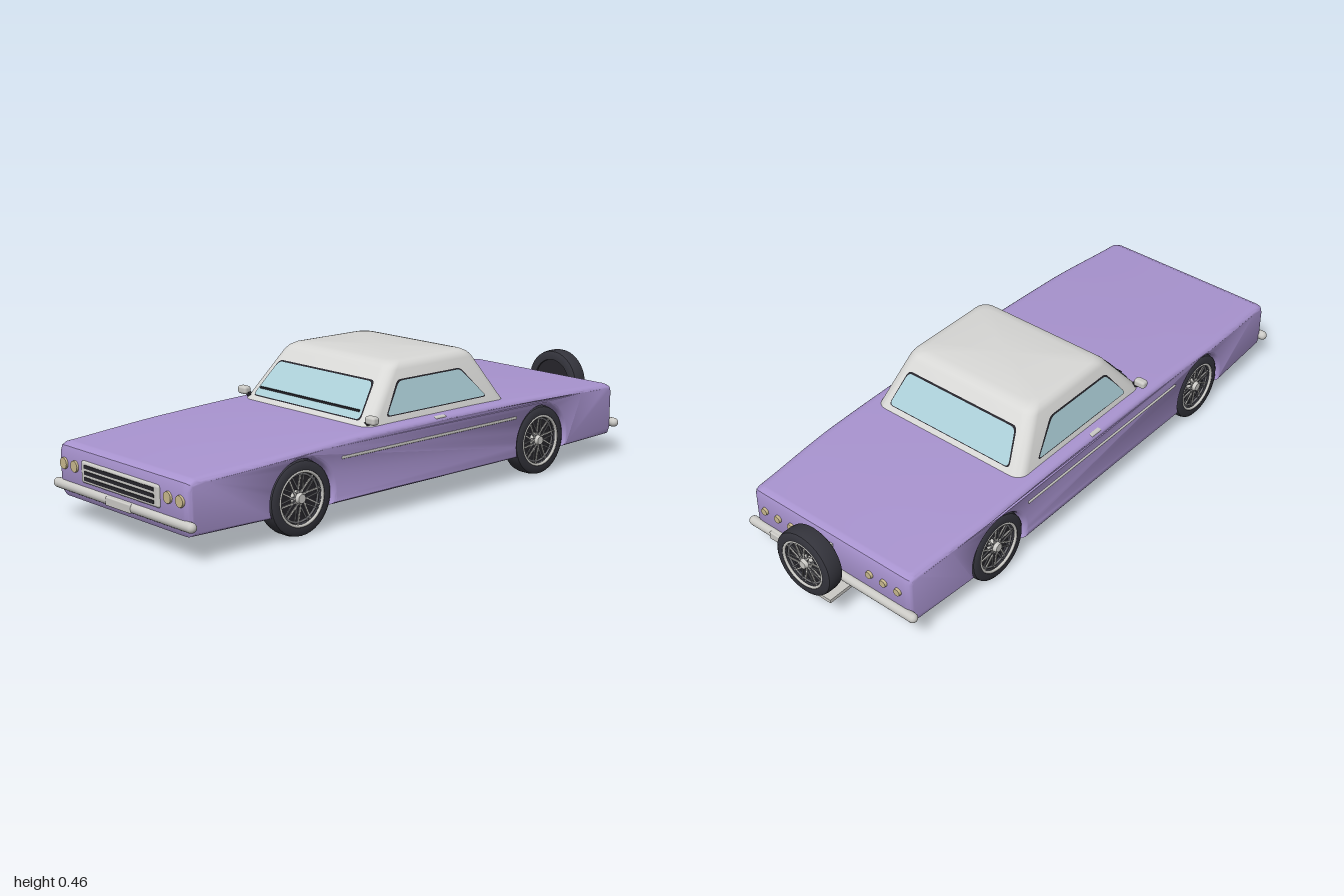
import * as THREE from 'three';
import { toCreasedNormals } from 'three/addons/utils/BufferGeometryUtils.js';
import { RoundedBoxGeometry } from 'three/addons/geometries/RoundedBoxGeometry.js';

const mat = (name, color, side = THREE.FrontSide) => {
  const m = new THREE.MeshStandardMaterial({ color, side });
  m.name = name;
  return m;
};

export function createModel() {
  const car = new THREE.Group();
  car.name = 'car';
  const paint = mat('lavender paint', 0xa994d0);
  const white = mat('white roof', 0xd8d8d6);
  const chrome = mat('chrome', 0xcbcac6);
  const glass = mat('glass', 0xadd0d9, THREE.DoubleSide);
  const dark = mat('dark trim', 0x26252b, THREE.DoubleSide);
  const rubber = mat('rubber', 0x34343c);
  const lamp = mat('lamp', 0xc9b98e);
  const rimGrey = mat('rim grey', 0x6c6c70);

  const add = (name, geo, material, x = 0, y = 0, z = 0, parent = car) => {
    const m = new THREE.Mesh(geo, material);
    m.name = name;
    m.position.set(x, y, z);
    parent.add(m);
    return m;
  };
  const box = (w, h, d) => new THREE.BoxGeometry(w, h, d);
  const rbox = (w, h, d, r) => new RoundedBoxGeometry(w, h, d, 3, r);

  // Body: side outline with wheel arches, extruded across with rounded edges
  const axles = [0.572, -0.492];
  const wheelY = 0.12, archR = 0.118, floorY = 0.0775;
  const dip = Math.asin((wheelY - floorY) / archR);
  const side = new THREE.Shape();
  side.moveTo(-0.972, floorY);
  for (const z of axles) {
    side.lineTo(-z - archR * Math.cos(dip), floorY);
    side.absarc(-z, wheelY, archR, Math.PI + dip, -dip, true);
  }
  side.lineTo(0.868, floorY);
  side.lineTo(0.88, 0.1);
  side.lineTo(0.882, 0.235);
  side.lineTo(0.876, 0.252);
  side.lineTo(0.86, 0.26);
  side.splineThru([[0.6, 0.273], [0.3, 0.282], [0, 0.283], [-0.28, 0.281], [-0.6, 0.268], [-0.96, 0.248]]
    .map(p => new THREE.Vector2(...p)));
  side.lineTo(-0.979, 0.238);
  side.lineTo(-0.986, 0.215);
  side.lineTo(-0.985, 0.1);
  side.closePath();
  let body = new THREE.ExtrudeGeometry(side, {
    depth: 0.63, bevelThickness: 0.03, bevelSize: 0.015, bevelOffset: -0.015, bevelSegments: 4, curveSegments: 16,
  });
  body.translate(0, 0, -0.315);
  body.rotateY(Math.PI / 2);
  // Narrow the body a little towards both ends
  const p = body.attributes.position;
  for (let i = 0; i < p.count; i++) {
    const t = THREE.MathUtils.smoothstep(Math.abs(p.getZ(i) - 0.05), 0.55, 0.95);
    p.setX(i, p.getX(i) * (1 - 0.05 * t));
  }
  add('body', toCreasedNormals(body, 0.6), paint);
  add('chassis', box(0.49, 0.18, 1.3), dark, 0, 0.143, 0.04);

  // Cabin: rounded rectangles stacked upwards
  const xs = y => 0.305 - 0.28 * (y - 0.28);
  const zf = y => 0.278 - 0.82 * (y - 0.28);
  const zr = y => -0.353 + 0.66 * (y - 0.28);
  const rows = [[0.262, 0], [0.435, 0], [0.449, 0.004], [0.457, 0.014], [0.461, 0.032]];
  const pos = [], idx = [], seg = 6, n = 4 * (seg + 1), r = 0.04;
  for (const [y, inset] of rows) {
    const hx = xs(y) - inset - r, f = zf(y) - inset - r, b = zr(y) + inset + r;
    [[hx, f], [-hx, f], [-hx, b], [hx, b]].forEach(([cx, cz], q) => {
      for (let i = 0; i <= seg; i++) {
        const a = (q + i / seg) * Math.PI / 2;
        pos.push(cx + r * Math.cos(a), y, cz + r * Math.sin(a));
      }
    });
  }
  for (let k = 0; k < rows.length - 1; k++) {
    for (let i = 0; i < n; i++) {
      const a = k * n + i, b = k * n + (i + 1) % n;
      idx.push(a, a + n, b, b, a + n, b + n);
    }
  }
  const last = (rows.length - 1) * n;
  pos.push(0, 0.463, -0.05);
  for (let i = 0; i < n; i++) idx.push(last + i, rows.length * n, last + (i + 1) % n);
  const cabin = new THREE.BufferGeometry();
  cabin.setAttribute('position', new THREE.Float32BufferAttribute(pos, 3));
  cabin.setIndex(idx);
  add('cabin', toCreasedNormals(cabin, 0.7), white);

  // Windows: rounded outlines laid onto the sloping cabin sides
  const outline = (pts, rad, grow) => {
    const c = pts.reduce((s, q) => [s[0] + q[0] / 4, s[1] + q[1] / 4], [0, 0]);
    const v = pts.map(([x, y]) => new THREE.Vector2(x + grow * Math.sign(x - c[0]), y + grow * Math.sign(y - c[1])));
    const s = new THREE.Shape();
    v.forEach((q, i) => {
      const prev = v[(i + 3) % 4], next = v[(i + 1) % 4];
      const a = q.clone().add(prev.clone().sub(q).setLength(rad));
      const b = q.clone().add(next.clone().sub(q).setLength(rad));
      if (i) s.lineTo(a.x, a.y); else s.moveTo(a.x, a.y);
      s.quadraticCurveTo(q.x, q.y, b.x, b.y);
    });
    s.closePath();
    return new THREE.ShapeGeometry(s, 5);
  };
  const pane = (name, pts, place) => {
    for (const [label, grow, lift, m] of [['Seal', 0.004, 0.002, dark], ['', 0, 0.005, glass]]) {
      const g = outline(pts, 0.016, grow), a = g.attributes.position;
      for (let i = 0; i < a.count; i++) a.setXYZ(i, ...place(a.getX(i), a.getY(i), lift));
      g.computeVertexNormals();
      add(name + label, g, m);
    }
  };
  pane('windshield', [[-0.257, 0.299], [0.257, 0.299], [0.226, 0.403], [-0.226, 0.403]], (x, y, l) => [x, y, zf(y) + l]);
  pane('rearWindow', [[-0.25, 0.302], [0.25, 0.302], [0.222, 0.403], [-0.222, 0.403]], (x, y, l) => [x, y, zr(y) - l]);
  for (const s of [1, -1]) {
    pane('sideWindow', [[-0.257, 0.306], [0.19, 0.306], [0.115, 0.403], [-0.16, 0.403]], (z, y, l) => [s * (xs(y) + l), y, z]);
  }
  add('wiper', box(0.48, 0.006, 0.006), dark, 0, 0.322, zf(0.322) + 0.007);

  // Wheels: lathed tyre, bright rim and wire spokes, facing +x
  const tyreProfile = [[0.084, -0.033], [0.106, -0.034], [0.115, -0.028], [0.118, -0.015], [0.118, 0.015],
    [0.115, 0.028], [0.106, 0.034], [0.088, 0.033], [0.083, 0.02], [0.083, -0.03], [0.084, -0.033]]
    .map(q => new THREE.Vector2(...q));
  const tyreGeo = toCreasedNormals(new THREE.LatheGeometry(tyreProfile, 40).rotateZ(-Math.PI / 2), 0.7);
  const disc = (rad, depth, top = rad) => new THREE.CylinderGeometry(top, rad, depth, 28).rotateZ(-Math.PI / 2);
  const ring = (rad, tube) => new THREE.TorusGeometry(rad, tube, 8, 40).rotateY(Math.PI / 2);
  const wheel = (name, scale = 1) => {
    const g = new THREE.Group();
    g.name = name;
    add('tyre', tyreGeo, rubber, 0, 0, 0, g);
    add('rimBack', disc(0.084, 0.03), dark, -0.012, 0, 0, g);
    add('rimEdge', ring(0.084, 0.005), chrome, 0.029, 0, 0, g);
    add('rimInner', ring(0.074, 0.004), rimGrey, 0.018, 0, 0, g);
    for (let i = 0; i < 20; i++) {
      const a = i * Math.PI / 10;
      const spoke = add('spoke', box(0.004, 0.068, 0.005), i % 2 ? rimGrey : chrome, 0.019, 0.048 * Math.cos(a), 0.048 * Math.sin(a), g);
      spoke.rotation.x = a + (i % 2 ? 0.2 : -0.2);
    }
    add('hub', disc(0.022, 0.03, 0.014), chrome, 0.018, 0, 0, g);
    g.scale.setScalar(scale);
    car.add(g);
    return g;
  };
  for (const z of axles) {
    for (const s of [1, -1]) {
      const w = wheel('wheel');
      w.position.set(s * 0.305, wheelY, z);
      if (s < 0) w.rotation.y = Math.PI;
    }
  }
  // Spare wheel on its rear carrier
  const spare = wheel('spareWheel', 0.95);
  spare.position.set(0, 0.211, -0.966);
  spare.rotation.y = Math.PI / 2;
  add('spareShelf', box(0.17, 0.012, 0.1), chrome, 0, 0.096, -0.925);
  add('spareBracket', box(0.03, 0.05, 0.07), chrome, 0, 0.2, -0.91);

  // Bumpers and plates
  const bumper = new THREE.CapsuleGeometry(0.016, 0.672, 6, 16).rotateZ(Math.PI / 2);
  add('frontBumper', bumper, chrome, 0, 0.114, 0.982);
  add('rearBumper', bumper, chrome, 0, 0.12, -0.884);
  add('frontPlate', rbox(0.126, 0.028, 0.02, 0.004), chrome, 0, 0.114, 0.99);
  add('rearPlate', rbox(0.12, 0.028, 0.014, 0.004), chrome, 0.19, 0.12, -0.895);

  // Grille with three dark slots
  add('grilleFrame', rbox(0.394, 0.07, 0.02, 0.009), chrome, 0, 0.177, 0.983);
  for (const y of [0.158, 0.177, 0.196]) add('grilleSlot', box(0.352, 0.011, 0.004), dark, 0, y, 0.993);

  // Round lamps
  const lens = (rad, depth, dir) => new THREE.CylinderGeometry(rad * 0.8, rad, depth, 24).rotateX(dir * Math.PI / 2);
  for (const s of [1, -1]) {
    for (const x of [0.236, 0.293]) add('headlight', lens(0.022, 0.024, 1), lamp, s * x, 0.184, 0.98);
    for (const x of [0.165, 0.222, 0.279]) add('tailLight', lens(0.015, 0.02, -1), lamp, s * x, 0.19, -0.88);

    // Side trim, door handles and mirrors
    add('sideTrim', rbox(0.008, 0.009, 0.78, 0.003), chrome, s * 0.345, 0.221, 0.03);
    add('doorHandle', rbox(0.02, 0.013, 0.05, 0.005), chrome, s * 0.331, 0.275, -0.01);
    const arm = add('mirrorArm', box(0.045, 0.014, 0.014), dark, s * 0.287, 0.29, 0.258);
    arm.rotation.z = s * 0.5;
    add('mirror', rbox(0.042, 0.027, 0.028, 0.009), chrome, s * 0.311, 0.305, 0.264);
  }
  return car;
}
